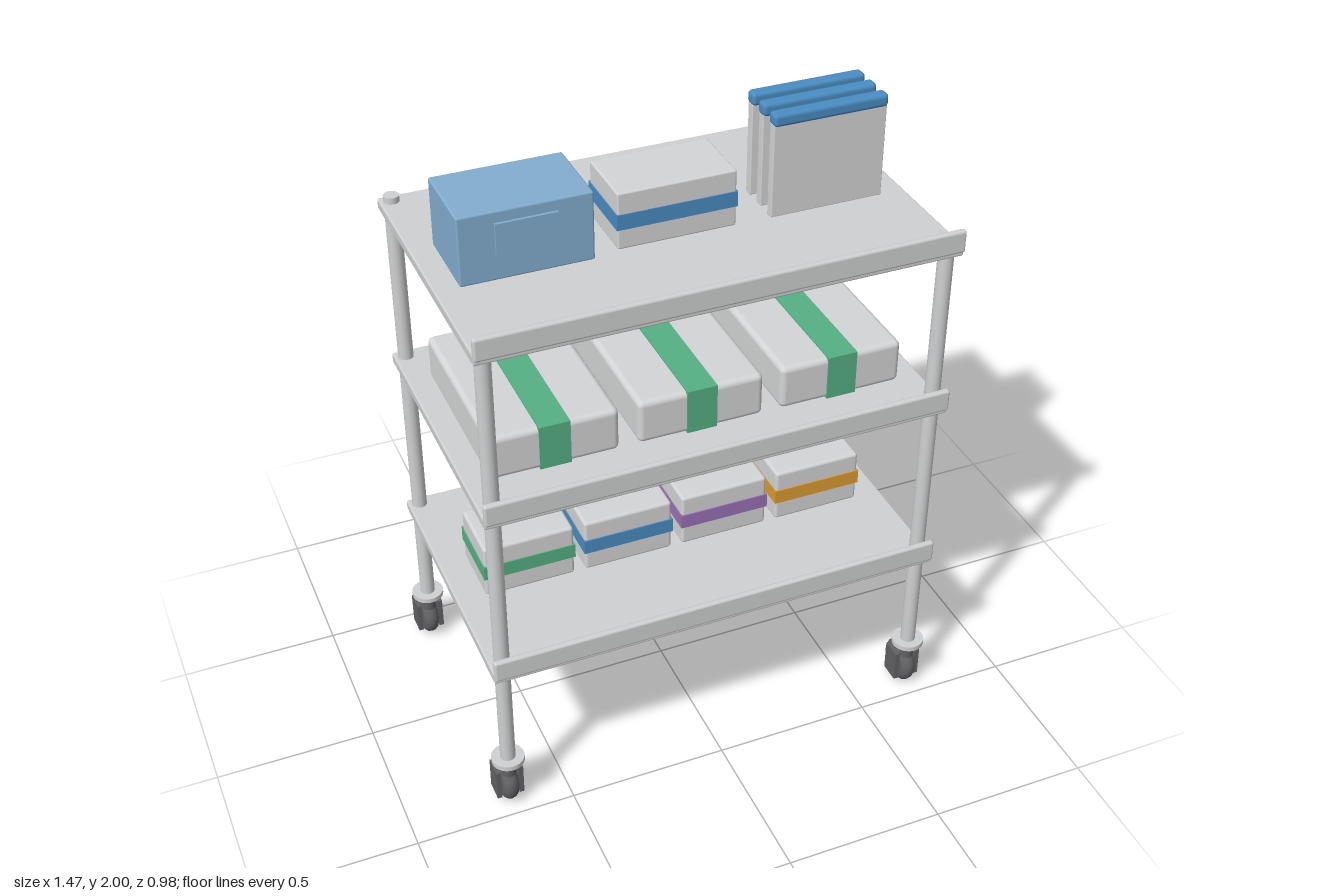
import * as THREE from 'three';
import { RoundedBoxGeometry } from 'three/addons/geometries/RoundedBoxGeometry.js';

const mat = (name, color) => {
  const m = new THREE.MeshStandardMaterial({ color });
  m.name = name;
  return m;
};

export function createModel() {
  const model = new THREE.Group();
  model.name = 'supplyCart';
  const metal = mat('light grey metal', 0xcfd0d1);
  const carton = mat('pale grey carton', 0xd4d5d6);
  const dark = mat('dark grey rubber', 0x626265);
  const paleBlue = mat('pale blue', 0x83add0);
  const blue = mat('blue', 0x4a8cc2);
  const green = mat('green', 0x55b085);
  const purple = mat('purple', 0x9b70b6);
  const orange = mat('orange', 0xdb9a32);

  const add = (parent, name, geometry, material, x = 0, y = 0, z = 0) => {
    const mesh = new THREE.Mesh(geometry, material);
    mesh.name = name;
    mesh.position.set(x, y, z);
    parent.add(mesh);
    return mesh;
  };
  // Box given by its limits, with optional rounded edges
  const box = (parent, name, material, [x0, x1], [y0, y1], [z0, z1], r = 0) => {
    const size = [x1 - x0, y1 - y0, z1 - z0];
    const geometry = r ? new RoundedBoxGeometry(...size, 3, r) : new THREE.BoxGeometry(...size);
    return add(parent, name, geometry, material, (x0 + x1) / 2, (y0 + y1) / 2, (z0 + z1) / 2);
  };
  const group = (name) => {
    const g = new THREE.Group();
    g.name = name;
    model.add(g);
    return g;
  };

  // Three shelves, each with a raised front lip
  const shelfTops = [0.559, 1.134, 1.675];
  for (const top of shelfTops) {
    const shelf = group('shelf');
    box(shelf, 'shelfBoard', metal, [-0.72, 0.72], [top - 0.033, top], [-0.42, 0.475], 0.006);
    box(shelf, 'shelfLip', metal, [-0.72, 0.72], [top - 0.018, top + 0.053], [0.463, 0.484], 0.008);
  }

  // Corner posts with swivel casters
  for (const x of [-0.685, 0.685]) {
    for (const z of [-0.387, 0.439]) {
      add(model, 'post', new THREE.CylinderGeometry(0.0235, 0.0235, 1.515, 24), metal, x, 0.9375, z);
      const caster = group('caster');
      caster.position.set(x, 0, z);
      add(caster, 'casterFlange', new THREE.CylinderGeometry(0.051, 0.051, 0.016, 28), metal, 0, 0.183, 0);
      add(caster, 'casterStem', new THREE.CylinderGeometry(0.022, 0.022, 0.06, 20), dark, 0, 0.148, 0);
      const wheel = add(caster, 'wheel', new THREE.TorusGeometry(0.045, 0.026, 14, 32), dark, 0, 0.071, -0.033);
      wheel.rotation.y = Math.PI / 2;
      for (const s of [-1, 1]) {
        add(caster, 'forkPlate', new THREE.BoxGeometry(0.015, 0.105, 0.066), dark, s * 0.0355, 0.083, -0.023);
      }
    }
  }

  // Top shelf: storage case with a raised front panel
  const storage = group('storageCase');
  box(storage, 'caseBody', paleBlue, [-0.648, -0.257], [1.675, 1.888], [-0.103, 0.147], 0.006);
  box(storage, 'casePanel', paleBlue, [-0.543, -0.362], [1.75, 1.853], [0.147, 0.156]);

  // Top shelf: carton with a blue band
  const parcel = group('bandedCarton');
  box(parcel, 'cartonBody', carton, [-0.182, 0.178], [1.675, 1.852], [-0.086, 0.126], 0.006);
  box(parcel, 'cartonBand', blue, [-0.185, 0.181], [1.738, 1.786], [-0.091, 0.129]);

  // Top shelf: upright files with blue spines
  for (const z of [-0.032, 0.04, 0.112]) {
    const file = group('file');
    box(file, 'fileSheet', carton, [0.288, 0.641], [1.675, 1.965], [z - 0.014, z + 0.014], 0.003);
    box(file, 'fileSpine', blue, [0.286, 0.643], [1.96, 2.0], [z - 0.021, z + 0.021], 0.012);
  }

  // Middle shelf: long packs with a green strap
  for (const x of [-0.452, -0.002, 0.447]) {
    const pack = group('pack');
    box(pack, 'packBody', carton, [x - 0.196, x + 0.196], [1.134, 1.275], [-0.26, 0.312], 0.018);
    box(pack, 'packStrap', green, [x - 0.047, x + 0.047], [1.136, 1.279], [-0.264, 0.316]);
  }

  // Bottom shelf: small boxes with coloured bands
  [green, blue, purple, orange].forEach((color, i) => {
    const x = -0.486 + i * 0.3235;
    const small = group('smallBox');
    box(small, 'smallBoxBody', carton, [x - 0.144, x + 0.144], [0.559, 0.738], [-0.08, 0.13], 0.01);
    box(small, 'smallBoxBand', color, [x - 0.147, x + 0.147], [0.625, 0.673], [-0.084, 0.134]);
  });

  return model;
}
